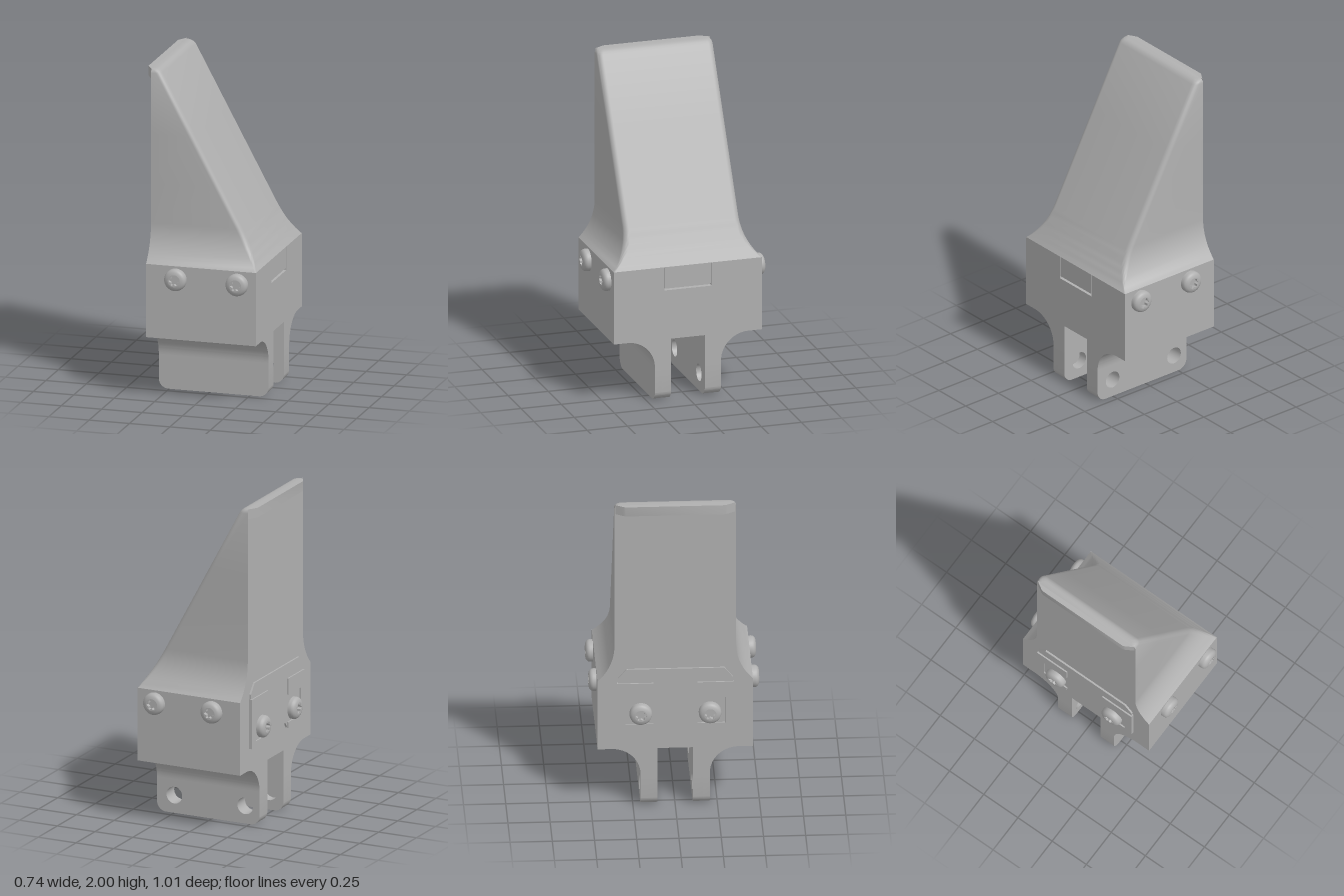
import * as THREE from 'three';
import { toCreasedNormals } from 'three/addons/utils/BufferGeometryUtils.js';

const grey = new THREE.MeshStandardMaterial({ color: 0xb0b0b0 });
grey.name = 'grey';

const BACK = -0.315, FRONT = 0.365, SEAM = 0.83;

function add(parent, name, geometry) {
  const mesh = new THREE.Mesh(geometry, grey);
  mesh.name = name;
  parent.add(mesh);
  return mesh;
}

function polygon(points) {
  return new THREE.Shape(points.map(([x, y]) => new THREE.Vector2(x, y)));
}

function extrude(shape, depth) {
  const g = new THREE.ExtrudeGeometry(shape, { depth, bevelEnabled: false, curveSegments: 16 });
  return toCreasedNormals(g, 0.5);
}

// Block outline seen along x: flared shoulders and the slot between the legs
function blockShape(notched) {
  const s = new THREE.Shape();
  s.moveTo(0.105, 0.38);
  s.lineTo(0.105, 0.21);
  s.lineTo(0.205, 0.21);
  s.absarc(0.375, 0.21, 0.17, Math.PI, Math.PI / 2, true);
  s.lineTo(0.46, 0.38);
  s.lineTo(0.46, SEAM);
  if (notched) [[0.147, SEAM], [0.147, 0.685], [-0.147, 0.685], [-0.147, SEAM]].forEach(p => s.lineTo(...p));
  s.lineTo(-0.46, SEAM);
  s.lineTo(-0.46, 0.38);
  s.lineTo(-0.375, 0.38);
  s.absarc(-0.375, 0.21, 0.17, Math.PI / 2, 0, true);
  s.lineTo(-0.105, 0.21);
  s.lineTo(-0.105, 0.38);
  s.closePath();
  return s;
}

// Leg plate seen along z, with rounded lower corners and optional pin holes
function legShape(holes) {
  const s = new THREE.Shape(), r = 0.06;
  s.moveTo(BACK, 0.21);
  s.lineTo(BACK, r);
  s.absarc(BACK + r, r, r, Math.PI, Math.PI * 1.5, false);
  s.lineTo(FRONT - r, 0);
  s.absarc(FRONT - r, r, r, -Math.PI / 2, 0, false);
  s.lineTo(FRONT, 0.21);
  s.closePath();
  if (holes) for (const x of [-0.22, 0.25]) {
    const h = new THREE.Path();
    h.absarc(x, 0.11, 0.052, 0, Math.PI * 2, true);
    s.holes.push(h);
  }
  return s;
}

// Wedge lofted from horizontal sections with rounded sloping-face corners
function wedgeGeometry() {
  const rows = [];
  for (let i = 0; i <= 10; i++) rows.push([SEAM + 0.023 * i, 0]);
  rows.push([1.3, 0], [1.6, 0], [1.975, 0], [1.988, 0.004], [1.997, 0.012], [2, 0.025]);
  const R = 0.3145, steps = 6, pos = [], idx = [];
  for (const [y, inset] of rows) {
    const d = Math.max(0, 1.06 - y);
    const w = 0.36 + R - Math.sqrt(R * R - d * d) - inset;
    const x = FRONT - (y - SEAM) * 0.539 - inset;
    const r = Math.min(0.032, 0.008 + (y - SEAM) * 0.2);
    pos.push(BACK, y, w);
    for (const side of [1, -1]) for (let k = 0; k <= steps; k++) {
      const a = (side > 0 ? steps - k : k) / steps * Math.PI / 2;
      pos.push(x - r + r * Math.cos(a), y, side * (w - r + r * Math.sin(a)));
    }
    pos.push(BACK, y, -w);
  }
  const n = 2 * (steps + 1) + 2;
  for (let j = 0; j < rows.length - 1; j++) for (let i = 0; i < n; i++) {
    const a = j * n + i, b = j * n + (i + 1) % n;
    idx.push(a, b, b + n, a, b + n, a + n);
  }
  const top = (rows.length - 1) * n;
  for (let i = 1; i < n - 1; i++) idx.push(top, top + i, top + i + 1);
  const g = new THREE.BufferGeometry();
  g.setAttribute('position', new THREE.Float32BufferAttribute(pos, 3));
  g.setIndex(idx);
  return toCreasedNormals(g, 0.6);
}

// Button-head screw facing +z with a six-lobed socket
function makeScrew(name) {
  const screw = new THREE.Group();
  screw.name = name;
  const profile = [[0.067, 0], [0.067, 0.018], [0.065, 0.027], [0.06, 0.035], [0.05, 0.042], [0.037, 0.045]];
  const dome = new THREE.LatheGeometry(profile.map(p => new THREE.Vector2(...p)), 32);
  add(screw, 'screwHead', dome.rotateX(Math.PI / 2));
  const disc = new THREE.Shape();
  disc.absarc(0, 0, 0.037, 0, Math.PI * 2, false);
  const star = [];
  for (let i = 0; i < 48; i++) {
    const a = i / 48 * Math.PI * 2, r = 0.027 + 0.005 * Math.cos(6 * a);
    star.push(new THREE.Vector2(r * Math.cos(a), r * Math.sin(a)));
  }
  disc.holes.push(new THREE.Path(star));
  add(screw, 'screwSocket', extrude(disc, 0.025)).position.z = 0.02;
  add(screw, 'socketFloor', new THREE.CircleGeometry(0.036, 24)).position.z = 0.021;
  return screw;
}

export function createModel() {
  const model = new THREE.Group();
  model.name = 'wedgeTooth';

  // Main block, with a shallow notch in the sloping side
  const slab = 0.03;
  const body = extrude(blockShape(false), FRONT - slab - BACK).rotateY(Math.PI / 2);
  add(model, 'block', body).position.x = BACK;
  const face = extrude(blockShape(true), slab).rotateY(Math.PI / 2);
  add(model, 'blockFace', face).position.x = FRONT - slab;
  add(model, 'notchTab', new THREE.BoxGeometry(slab, 0.13, 0.286)).position.set(FRONT - slab / 2 - 0.001, 0.765, 0);

  // Legs: through holes in the rear one, blind holes inside the front one
  add(model, 'rearLeg', extrude(legShape(true), 0.1)).position.z = -0.205;
  add(model, 'frontLegInner', extrude(legShape(true), 0.06)).position.z = 0.105;
  add(model, 'frontLegOuter', extrude(legShape(false), 0.04)).position.z = 0.165;

  // Wedge and the chamfered lip along its top edge
  add(model, 'wedge', wedgeGeometry());
  const lip = polygon([[BACK, -0.355], [BACK, 0.355], [-0.342, 0.31], [-0.35, 0.295], [-0.35, -0.295], [-0.342, -0.31]]);
  add(model, 'topLip', extrude(lip, 0.06).rotateX(-Math.PI / 2)).position.y = 1.94;

  // Thin cover panel with a bracket around each fixing screw
  const cover = new THREE.Group();
  cover.name = 'coverPanel';
  cover.rotation.y = -Math.PI / 2;
  cover.position.x = BACK;
  model.add(cover);
  add(cover, 'panel', extrude(polygon([
    [-0.34, 0.52], [-0.13, 0.52], [-0.11, 0.55], [0.11, 0.55], [0.13, 0.52], [0.34, 0.52],
    [0.34, 0.85], [0.29, 0.91], [-0.29, 0.91], [-0.34, 0.85]]), 0.011));
  for (const s of [-1, 1]) {
    add(cover, 'bracket', extrude(polygon([
      [0.345, 0.515], [0.345, 0.82], [0.13, 0.82], [0.13, 0.72], [0.295, 0.72],
      [0.295, 0.55], [0.13, 0.55], [0.13, 0.515]].map(([x, y]) => [x * s, y])), 0.02));
    const screw = makeScrew('coverScrew');
    screw.position.set(s * 0.205, 0.62, 0.01);
    cover.add(screw);
  }

  // Side screws, front and rear
  for (const s of [1, -1]) for (const x of [-0.13, 0.25]) {
    const screw = makeScrew('sideScrew');
    screw.position.set(x, 0.75, s * 0.46);
    if (s < 0) screw.rotation.y = Math.PI;
    model.add(screw);
  }
  return model;
}
